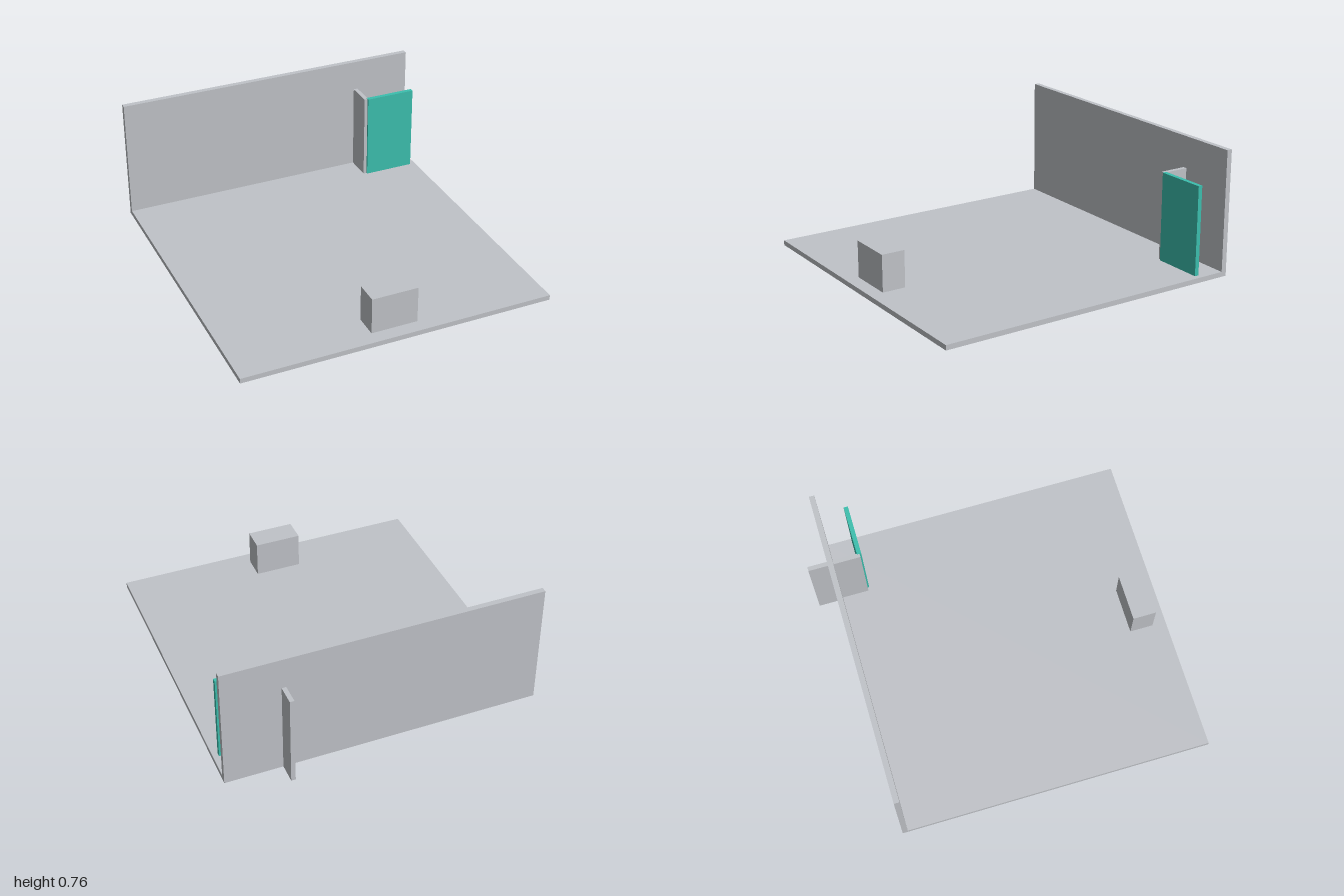
import * as THREE from 'three';

export function createModel() {
  const group = new THREE.Group();
  group.name = 'room';

  const grey = new THREE.MeshStandardMaterial({ color: 0xc0c3c8 });
  grey.name = 'light grey';
  const teal = new THREE.MeshStandardMaterial({ color: 0x3cbfae });
  teal.name = 'teal';

  // Box given by its extents along each axis
  function block(name, material, [x0, x1], [y0, y1], [z0, z1]) {
    const mesh = new THREE.Mesh(new THREE.BoxGeometry(x1 - x0, y1 - y0, z1 - z0), material);
    mesh.position.set((x0 + x1) / 2, (y0 + y1) / 2, (z0 + z1) / 2);
    mesh.name = name;
    group.add(mesh);
  }

  // Floor slab and back wall
  block('floor', grey, [-0.94, 0.94], [0, 0.03], [-0.85, 1]);
  block('backWall', grey, [-0.94, 0.94], [0, 0.755], [-0.882, -0.85]);

  // Fin through the wall, with the door panel hung at its front end
  block('doorPost', grey, [0.574, 0.6], [0, 0.565], [-1, -0.688]);
  block('door', teal, [0.595, 0.907], [-0.001, 0.566], [-0.704, -0.678]);

  // Block near the front edge
  block('frontBlock', grey, [-0.14, 0.14], [0.03, 0.252], [0.775, 0.917]);

  return group;
}
